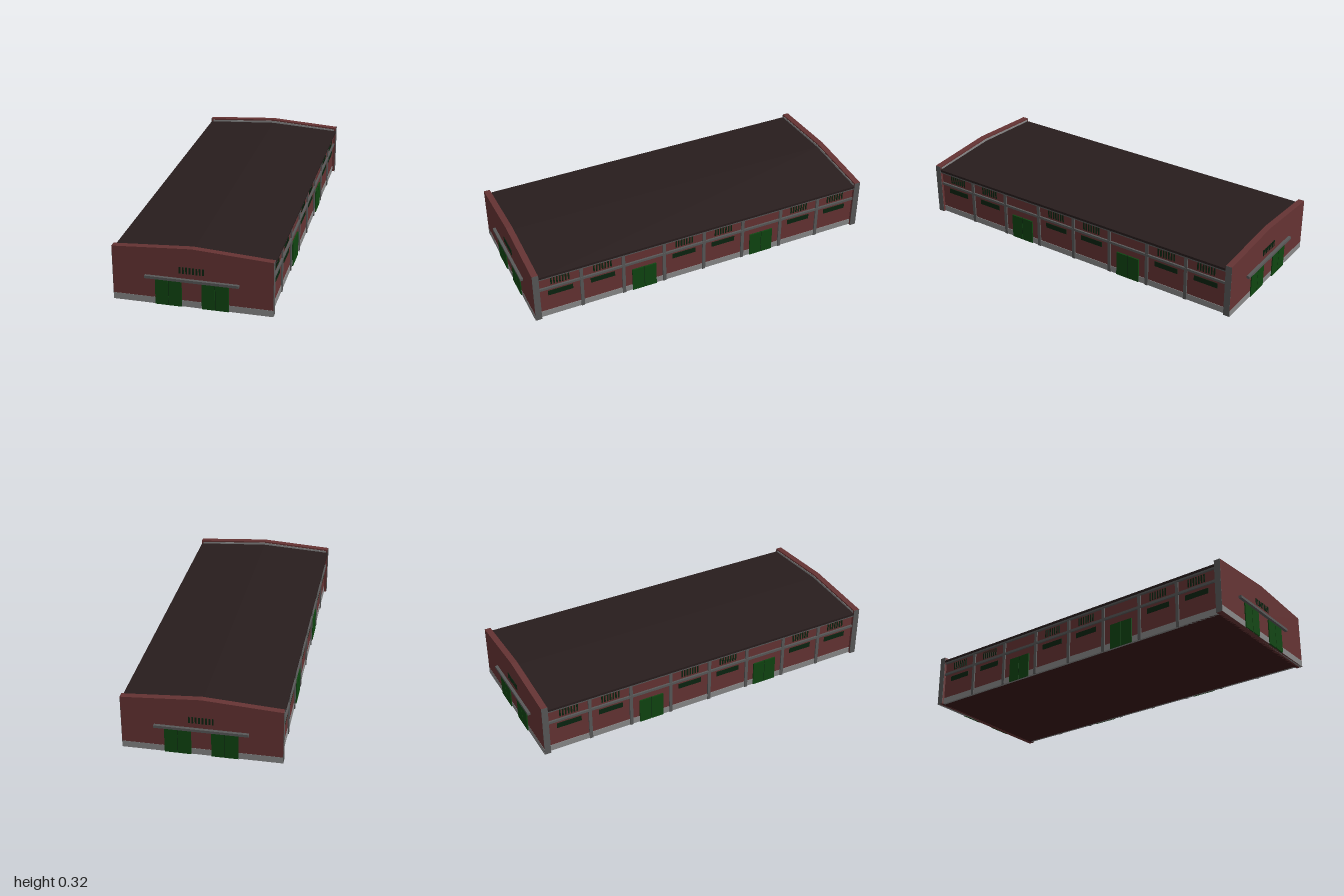
import * as THREE from 'three';

const mat = (color) => new THREE.MeshStandardMaterial({ color, flatShading: true });
const M = {
  brick: mat(0x653333), roof: mat(0x281d1d), trim: mat(0x585858), plinth: mat(0x888888),
  door: mat(0x0f4511), glass: mat(0x0a2410), floor: mat(0x3a1818),
};

// Box given by its min and max corners
function box(parent, name, material, [x0, y0, z0], [x1, y1, z1]) {
  const mesh = new THREE.Mesh(new THREE.BoxGeometry(x1 - x0, y1 - y0, z1 - z0), material);
  mesh.position.set((x0 + x1) / 2, (y0 + y1) / 2, (z0 + z1) / 2);
  mesh.name = name;
  parent.add(mesh);
  return mesh;
}

// Outline in x and y, extruded from z0 to z1
function slab(parent, name, material, points, z0, z1) {
  const shape = new THREE.Shape(points.map(([x, y]) => new THREE.Vector2(x, y)));
  const geo = new THREE.ExtrudeGeometry(shape, { depth: z1 - z0, bevelEnabled: false });
  geo.translate(0, 0, z0);
  const mesh = new THREE.Mesh(geo, material);
  mesh.name = name;
  parent.add(mesh);
}

// Pair of door leaves around x = 0 with its outer face at z
function doubleDoor(width, height, depth) {
  const g = new THREE.Group();
  g.name = 'doubleDoor';
  for (const s of [-1, 1]) {
    const a = s * 0.0015, b = s * width / 2;
    box(g, 'doorLeaf', M.door, [Math.min(a, b), 0, -depth], [Math.max(a, b), height, 0]);
  }
  box(g, 'doorGap', M.glass, [-0.0015, 0, -depth], [0.0015, height, -0.002]);
  return g;
}

// Row of narrow vent slits centred on x = 0
function vents(count, pitch, width, y0, y1, depth) {
  const g = new THREE.Group();
  g.name = 'vents';
  for (let i = 0; i < count; i++) {
    const x = (i - (count - 1) / 2) * pitch;
    box(g, 'ventSlit', M.glass, [x - width / 2, y0, -depth], [x + width / 2, y1, 0]);
  }
  return g;
}

// Gable end facing +z
function gableEnd() {
  const g = new THREE.Group();
  g.name = 'gableEnd';
  const W = 0.411;
  slab(g, 'gableWall', M.brick, [[-W, 0], [W, 0], [W, 0.296], [0.39, 0.297], [0, 0.322],
    [-0.39, 0.297], [-W, 0.296]], 0.95, 0.984);
  // Grey flashing on the inner face of the parapet
  slab(g, 'parapetFlashing', M.plinth, [[-0.4, 0.27], [0, 0.29], [0.4, 0.27], [0.4, 0.288],
    [0, 0.314], [-0.4, 0.288]], 0.948, 0.951);
  box(g, 'gablePlinth', M.plinth, [-W, 0, 0.97], [W, 0.035, 0.985]);
  for (const s of [-1, 1]) {
    const x = s * W;
    box(g, 'cornerPier', M.trim, [x - 0.001, 0, 0.949], [x + 0.001, 0.296, 0.984]);
    const door = doubleDoor(0.137, 0.139, 0.01);
    door.position.set(s * 0.12 - 0.0015, 0, 0.99);
    g.add(door);
  }
  box(g, 'canopy', M.trim, [-0.242, 0.143, 0.98], [0.24, 0.157, 1]);
  const v = vents(8, 0.0172, 0.009, 0.184, 0.219, 0.005);
  v.position.set(-0.002, 0, 0.9865);
  g.add(v);
  return g;
}

// Long side, built facing +z and running along x
function longSide() {
  const g = new THREE.Group();
  g.name = 'longSide';
  const F = 0.395, L = 0.95;
  box(g, 'sidePlinth', M.plinth, [-L, 0, F - 0.01], [L, 0.035, F + 0.003]);
  box(g, 'beltCourse', M.trim, [-L, 0.18, F - 0.01], [L, 0.193, F + 0.01]);
  box(g, 'eavesBand', M.trim, [-L, 0.255, F - 0.01], [L, 0.275, F + 0.012]);
  for (let i = -3; i <= 3; i++) {
    const x = i * 0.238;
    box(g, 'pilaster', M.trim, [x - 0.009, 0, F - 0.01], [x + 0.009, 0.26, F + 0.008]);
  }
  for (let i = 0; i < 8; i++) {
    const x = (i - 3.5) * 0.2375;
    if (i === 2 || i === 5) {
      const door = doubleDoor(0.14, 0.139, 0.015);
      door.position.set(x, 0, F + 0.008);
      g.add(door);
    } else {
      box(g, 'window', M.glass, [x - 0.069, 0.134, F - 0.01], [x + 0.069, 0.163, F + 0.003]);
      const v = vents(7, 0.016, 0.008, 0.204, 0.248, 0.01);
      v.position.set(x, 0, F + 0.003);
      g.add(v);
    }
  }
  return g;
}

export function createModel() {
  const model = new THREE.Group();
  model.name = 'warehouse';
  // Brick core and floor
  box(model, 'brickWalls', M.brick, [-0.395, 0.002, -0.955], [0.395, 0.265, 0.955]);
  box(model, 'floor', M.floor, [-0.396, 0, -0.96], [0.396, 0.003, 0.96]);
  // Low pitched roof
  slab(model, 'roof', M.roof, [[-0.41, 0.264], [0.41, 0.264], [0.41, 0.277], [0, 0.301],
    [-0.41, 0.277]], -0.952, 0.952);
  // Matching ends and sides
  for (let i = 0; i < 2; i++) {
    const end = gableEnd();
    end.rotation.y = i * Math.PI;
    const side = longSide();
    side.rotation.y = Math.PI / 2 + i * Math.PI;
    model.add(end, side);
  }
  return model;
}
